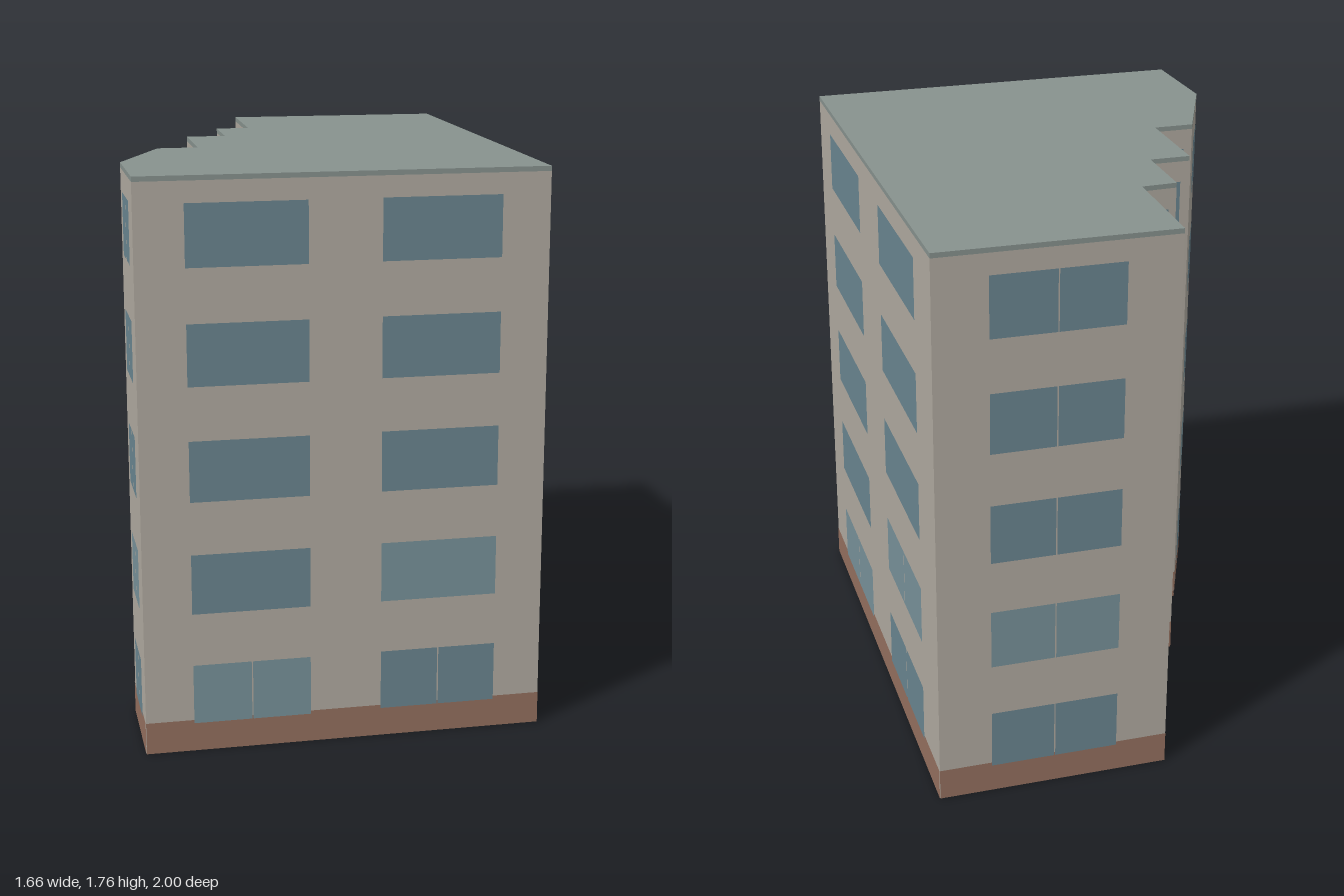
import * as THREE from 'three';

const HEIGHT = 1.76, ROOF = 0.015, BASE = 0.1;
const FLOORS = 5, FLOOR_STEP = 0.351, SILL = 0.09, WINDOW_HEIGHT = 0.187;

// Footprint corners as [x, z]; the first two edges are the long walls
const FOOTPRINT = [
  [-0.34, -1], [0.83, 0.085], [0, 1], [-0.25, 0.775], [-0.4, 0.44], [-0.315, 0.345],
  [-0.545, 0.13], [-0.46, 0.035], [-0.63, -0.125], [-0.56, -0.21], [-0.83, -0.47],
];

const paint = (color, side = THREE.FrontSide) =>
  new THREE.MeshStandardMaterial({ color, side, flatShading: true });

export function createModel() {
  const wallMat = paint(0xb0aaa0, THREE.DoubleSide);
  const baseMat = paint(0x94705f);
  const glassMat = paint(0x6a8590);
  const paleGlassMat = paint(0x78929a);
  const roofMat = paint(0x87928e);

  const model = new THREE.Group();
  model.name = 'apartmentBlock';

  // Upright panel centred at x on a wall group, raised slightly off its surface
  function addPanel(parent, name, material, x, bottom, width, height, lift) {
    const panel = new THREE.Mesh(new THREE.PlaneGeometry(width, height), material);
    panel.name = name;
    panel.position.set(x, bottom + height / 2, lift);
    parent.add(panel);
  }

  // Window made of one pane, or of two panes with a narrow gap
  function addWindow(wall, x, bottom, width, split, material) {
    if (!split) {
      addPanel(wall, 'windowPane', material, x, bottom, width, WINDOW_HEIGHT, 0.003);
      return;
    }
    const gap = 0.004, pane = (width - gap) / 2;
    for (const s of [-1, 1]) {
      addPanel(wall, 'windowPane', material, x + s * (pane + gap) / 2, bottom, pane, WINDOW_HEIGHT, 0.003);
    }
  }

  // Walls, each with its plinth strip and windows; the shell is open below
  FOOTPRINT.forEach(([x0, z0], i) => {
    const [x1, z1] = FOOTPRINT[(i + 1) % FOOTPRINT.length];
    const dx = x1 - x0, dz = z1 - z0;
    const length = Math.hypot(dx, dz);
    const wall = new THREE.Group();
    wall.name = 'wall';
    wall.position.set((x0 + x1) / 2, 0, (z0 + z1) / 2);
    wall.rotation.y = Math.atan2(dz, -dx);
    addPanel(wall, 'wallFace', wallMat, 0, 0, length, HEIGHT - ROOF, 0);
    addPanel(wall, 'plinth', baseMat, 0, 0, length, BASE, 0.0015);

    const isLong = i < 2;
    for (let floor = 0; floor < FLOORS; floor++) {
      const bottom = SILL + floor * FLOOR_STEP;
      if (isLong) {
        for (const s of [-1, 1]) {
          const pale = (floor === 0 && s < 0) || (floor === 1 && s > 0);
          const split = floor === 0 || (i === 0 && floor === 1 && s > 0);
          addWindow(wall, s * 0.235 * length, bottom, 0.292 * length, split, pale ? paleGlassMat : glassMat);
        }
      } else {
        addWindow(wall, 0, bottom, 0.55 * length, true, floor === 1 ? paleGlassMat : glassMat);
      }
    }
    model.add(wall);
  });

  // Thin flat roof slab
  const outline = new THREE.Shape(FOOTPRINT.map(([x, z]) => new THREE.Vector2(x, -z)));
  const roof = new THREE.Mesh(
    new THREE.ExtrudeGeometry(outline, { depth: ROOF, bevelEnabled: false }).rotateX(-Math.PI / 2),
    roofMat
  );
  roof.name = 'roof';
  roof.position.y = HEIGHT - ROOF;
  model.add(roof);

  return model;
}
